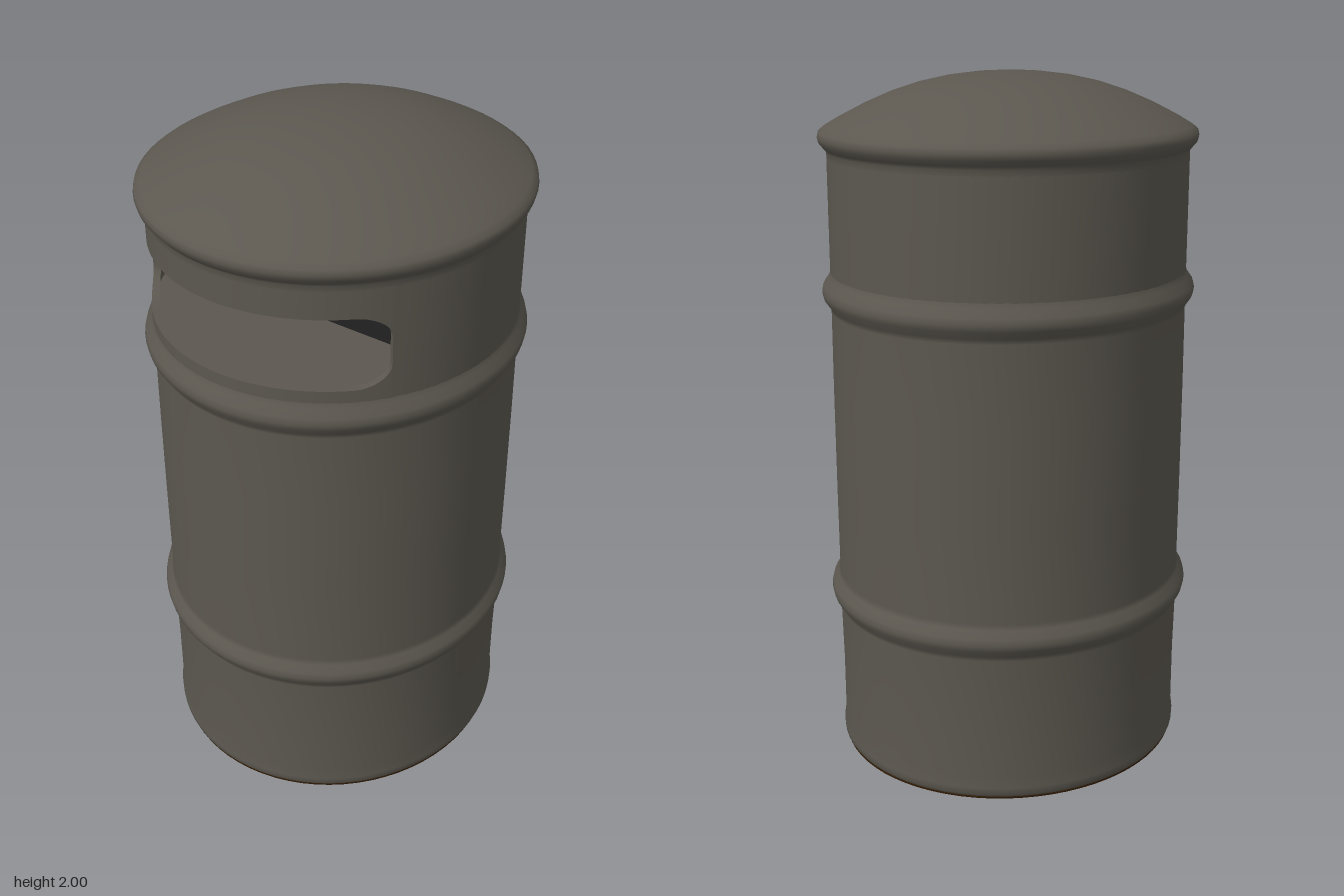
import * as THREE from 'three';

const RX = 0.505, RZ = 0.535; // oval plan of the barrel
const SEG = 72;

function mat(name, color, side = THREE.FrontSide) {
  const m = new THREE.MeshStandardMaterial({ color, side });
  m.name = name;
  return m;
}

// Oval body of revolution from [radius factor, y] points, bottom to top
function ovalLathe(points) {
  const g = new THREE.LatheGeometry(points.map(([r, y]) => new THREE.Vector2(r, y)), SEG);
  return g.scale(RX, 1, RZ);
}

// Rounded raised hoop centred on height y
const hoop = (y) => [[1, -0.055], [1.01, -0.04], [1.04, -0.018], [1.048, 0], [1.04, 0.018], [1.01, 0.04], [1, 0.055]]
  .map(([r, d]) => [r, y + d]);

// Slot measurements
const MID = 1.585, HALF_H = 0.105, HALF_W = 0.415, CORNER = 0.065, SHIFT = -0.01;
const BAND_LOW = 1.44, BAND_TOP = 1.77;

// Half height of the slot opening at a distance x from its middle
function slotHalf(x) {
  const over = Math.max(0, Math.abs(x) - (HALF_W - CORNER));
  return HALF_H - CORNER + Math.sqrt(Math.max(0, CORNER * CORNER - over * over));
}

// Grid surface: columns around the barrel, each a list of [r, y] points
function strip(columns) {
  const pos = [], idx = [], n = columns[0].pts.length;
  columns.forEach(({ a, pts }) => pts.forEach(([r, y]) => pos.push(RX * r * Math.sin(a), y, RZ * r * Math.cos(a))));
  for (let i = 0; i < columns.length - 1; i++) {
    for (let j = 0; j < n - 1; j++) {
      const p = i * n + j, q = p + n;
      idx.push(p, q, q + 1, p, q + 1, p + 1);
    }
  }
  const g = new THREE.BufferGeometry();
  g.setAttribute('position', new THREE.Float32BufferAttribute(pos, 3));
  g.setIndex(idx);
  g.computeVertexNormals();
  return g;
}

// Columns through the slot, denser at its rounded ends, then round the back
function slotColumns() {
  const cols = [], n = 48;
  const angle = (x) => Math.asin((x + SHIFT) / RX);
  for (let i = 0; i <= n; i++) {
    const x = -HALF_W * Math.cos((i / n) * Math.PI);
    cols.push({ a: angle(x), h: slotHalf(x) });
  }
  const start = angle(HALF_W), end = angle(-HALF_W) + Math.PI * 2;
  const back = [];
  for (let i = 0; i <= 56; i++) back.push({ a: start + (end - start) * i / 56, h: 0 });
  return { cols, back };
}

export function createModel() {
  const group = new THREE.Group();
  const body = mat('warm grey metal', 0x5c5850, THREE.DoubleSide);
  const dark = mat('dark interior', 0x222222, THREE.DoubleSide);
  const brown = mat('brown underside', 0x3d2408);
  const add = (name, geometry, material) => {
    const m = new THREE.Mesh(geometry, material);
    m.name = name;
    group.add(m);
    return m;
  };

  // Drum with two hoops
  add('drum', ovalLathe([
    [0.985, 0.008], [1, 0.02], [1.002, 0.04], [0.993, 0.07], [0.993, 0.25],
    ...hoop(0.49), [1.002, 0.8], [1.002, 1.1], ...hoop(1.39),
  ]), body);

  // Domed lid with rolled rim
  add('lid', ovalLathe([
    [1, 1.765], [1, 1.785], [1.015, 1.795], [1.04, 1.81], [1.048, 1.825], [1.042, 1.84], [1.01, 1.853],
    [0.94, 1.874], [0.8, 1.911], [0.65, 1.944], [0.5, 1.969], [0.35, 1.986], [0.2, 1.996], [0.08, 2], [0, 2],
  ]), body);

  // Upper wall: closed round the back, open at the slot in front
  const { cols, back } = slotColumns();
  add('upperWallBack', strip(back.map(({ a }) => ({ a, pts: [[1, BAND_LOW], [1, MID], [1, BAND_TOP]] }))), body);
  add('wallBelowSlot', strip(cols.map(({ a, h }) => ({ a, pts: [[1, BAND_LOW], [1, MID - h]] }))), body);
  add('wallAboveSlot', strip(cols.map(({ a, h }) => ({ a, pts: [[1, MID + h], [1, BAND_TOP]] }))), body);

  // Turned-in lip round the slot
  const first = { a: cols[0].a, h: 0 }, last = { a: cols[cols.length - 1].a, h: 0 };
  const lipCols = [first, ...cols, last];
  for (const s of [-1, 1]) {
    add(s < 0 ? 'slotLipLower' : 'slotLipUpper', strip(lipCols.map(({ a, h }) => {
      const edge = [[1, MID + s * h], [0.96, MID + s * h]];
      return { a, pts: s < 0 ? edge : edge.reverse() };
    })), body);
  }

  // Chute behind the slot: shelf, ceiling and dark back panel
  const backZ = 0.15, reach = Math.acos(backZ / (RZ * 0.985));
  const plan = new THREE.Shape();
  for (let i = 0; i <= 32; i++) {
    const a = -reach + 2 * reach * i / 32;
    const x = RX * 0.985 * Math.sin(a), z = RZ * 0.985 * Math.cos(a);
    if (i) plan.lineTo(x, -z); else plan.moveTo(x, -z);
  }
  const deck = new THREE.ShapeGeometry(plan).rotateX(-Math.PI / 2);
  add('chuteShelf', deck, body).position.y = 1.472;
  add('chuteCeiling', deck, dark).position.y = 1.698;
  const panel = new THREE.PlaneGeometry(2 * RX * 0.985 * Math.sin(reach), 0.226);
  add('chuteBackPanel', panel, dark).position.set(0, MID, backZ);

  // Underside
  add('base', ovalLathe([[0, 0], [0.975, 0], [0.988, 0.004], [0.988, 0.012]]), brown);

  return group;
}
